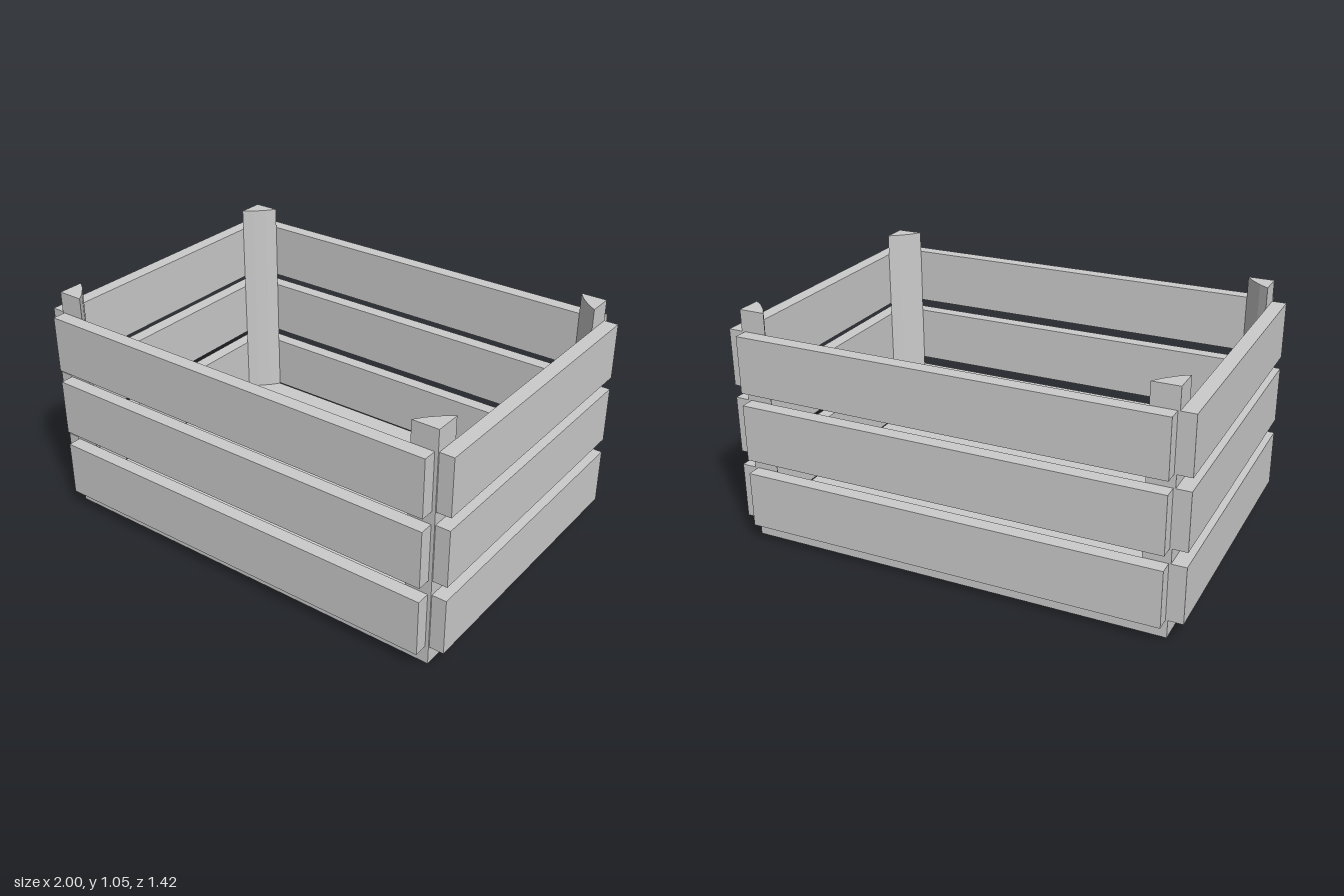
import * as THREE from 'three';

export function createModel() {
  const crate = new THREE.Group();
  crate.name = 'crate';
  const material = new THREE.MeshStandardMaterial({ color: 0xcccccc, flatShading: true });

  const add = (name, geometry) => {
    const mesh = new THREE.Mesh(geometry, material);
    mesh.name = name;
    crate.add(mesh);
    return mesh;
  };
  // Box given by its lower and upper limits on each axis
  const board = (name, [x0, x1], [y0, y1], [z0, z1]) =>
    add(name, new THREE.BoxGeometry(x1 - x0, y1 - y0, z1 - z0))
      .position.set((x0 + x1) / 2, (y0 + y1) / 2, (z0 + z1) / 2);

  const X = 0.937, Z = 0.647; // outer faces of the floor and posts
  const floorTop = 0.075, postTop = 1.045, postSize = 0.115;

  board('floor', [-X, X], [0, floorTop], [-Z, Z]);

  // Three rows of slats, nailed outside the posts
  for (const row of [[0.078, 0.328], [0.392, 0.644], [0.7, 0.951]]) {
    board('frontSlat', [-0.928, 0.922], row, [Z, 0.707]);
    board('backSlat', [-0.928, 0.922], row, [-0.709, -Z]);
    board('leftSlat', [X, 1], row, [-Z, 0.641]);
    board('rightSlat', [-1, -X], row, [-Z, 0.641]);
  }

  // Triangular corner posts with a slightly bowed inner face
  for (const sx of [-1, 1]) {
    for (const sz of [-1, 1]) {
      const section = [[0, 0], [1, 0], [0.74, 0.36], [0.36, 0.74], [0, 1]];
      const shape = new THREE.Shape(section.map(([u, v]) =>
        new THREE.Vector2(sx * (X - u * postSize), -sz * (Z - v * postSize))));
      const geometry = new THREE.ExtrudeGeometry(shape, { depth: postTop - floorTop, bevelEnabled: false });
      geometry.rotateX(-Math.PI / 2);
      add('cornerPost', geometry).position.y = floorTop;
    }
  }
  return crate;
}
